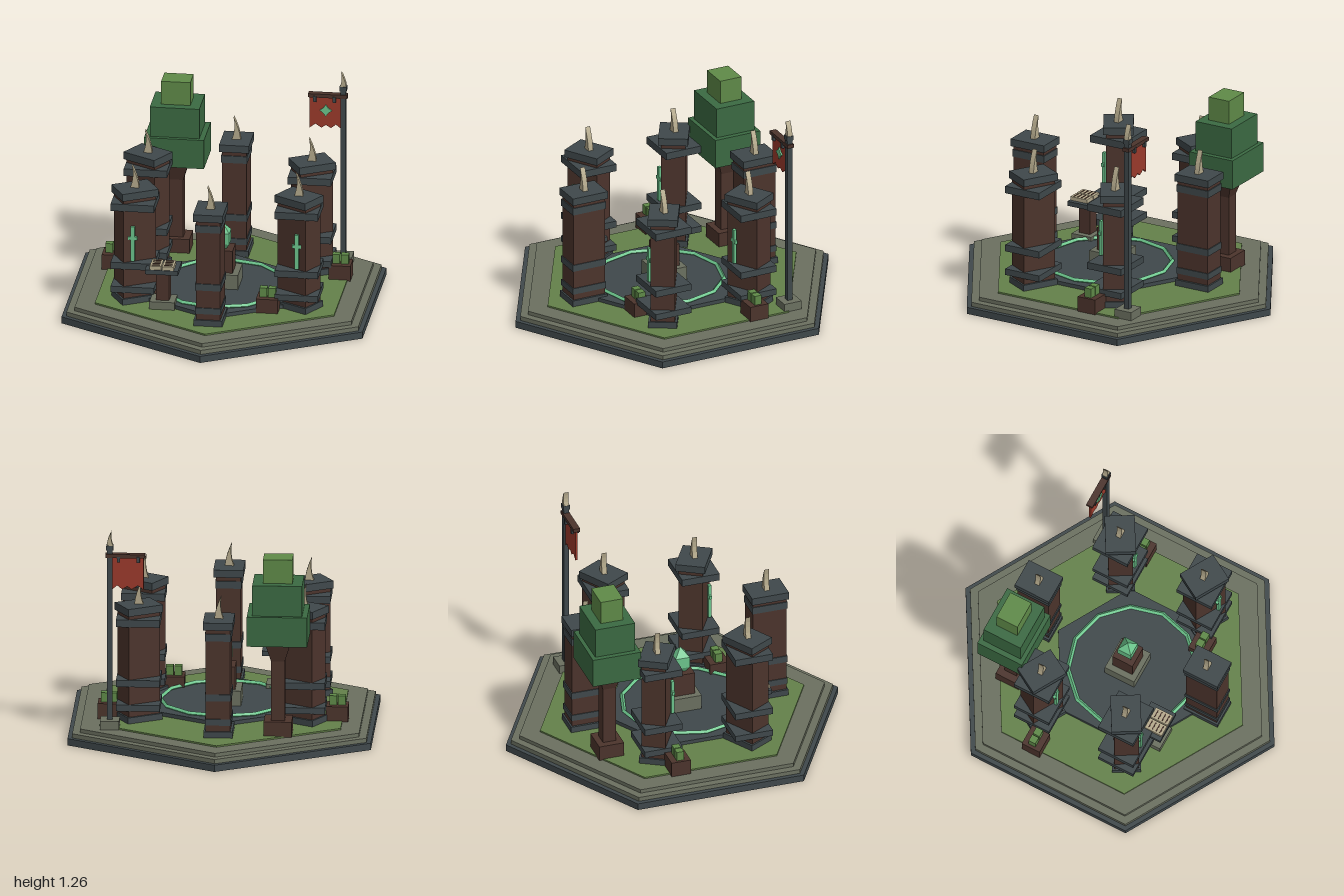
import * as THREE from 'three';

const mat = (name, hex) => {
  const m = new THREE.MeshStandardMaterial({ color: hex });
  m.name = name;
  return m;
};

export function createModel() {
  const slate = mat('slate', 0x3f484b), stone = mat('stone', 0x6b7060), grass = mat('grass', 0x64814a);
  const wood = mat('wood', 0x4c342c), mint = mat('mint', 0x6cc58c), bone = mat('bone', 0xb5aa8c);
  const leaf = mat('darkLeaf', 0x3b6a42), sprout = mat('lightLeaf', 0x5f8a48), red = mat('redCloth', 0x9b3a2b);

  const root = new THREE.Group();
  root.name = 'shrineCircle';

  const add = (parent, name, geo, material, x = 0, y = 0, z = 0) => {
    const mesh = new THREE.Mesh(geo, material);
    mesh.name = name;
    mesh.position.set(x, y, z);
    parent.add(mesh);
    return mesh;
  };
  const flat = (geo) => {
    const g = geo.index ? geo.toNonIndexed() : geo;
    g.computeVertexNormals();
    return g;
  };
  // Box standing between heights y0 and y1
  const box = (parent, name, material, x, z, w, d, y0, y1) =>
    add(parent, name, new THREE.BoxGeometry(w, y1 - y0, d), material, x, (y0 + y1) / 2, z);
  // Regular prism with its first corner toward +z
  const prism = (parent, name, material, r0, r1, sides, y0, y1, x = 0, z = 0) =>
    add(parent, name, flat(new THREE.CylinderGeometry(r1, r0, y1 - y0, sides)), material, x, (y0 + y1) / 2, z);
  const group = (name, x = 0, z = 0, parent = root) => {
    const g = new THREE.Group();
    g.name = name;
    g.position.set(x, 0, z);
    parent.add(g);
    return g;
  };

  // Curved horn cut from a plate
  const horn = (parent, x, y, z, h, w) => {
    const s = new THREE.Shape();
    s.moveTo(-w / 2, 0);
    s.lineTo(w / 2, 0);
    s.quadraticCurveTo(w * 0.42, h * 0.45, -w * 0.3, h);
    s.quadraticCurveTo(-w * 0.02, h * 0.5, -w / 2, 0);
    const g = new THREE.ExtrudeGeometry(s, { depth: 0.03, bevelEnabled: false, curveSegments: 4 });
    g.translate(0, 0, -0.015);
    add(parent, 'horn', g, bone, x, y, z);
  };

  // Stepped hexagonal ground
  prism(root, 'baseSlab', slate, 1, 1, 6, 0, 0.04);
  prism(root, 'lowerStep', stone, 0.97, 0.97, 6, 0.04, 0.065);
  prism(root, 'upperStep', stone, 0.92, 0.92, 6, 0.065, 0.087);
  prism(root, 'lawn', grass, 0.795, 0.795, 6, 0.087, 0.096);
  prism(root, 'plaza', slate, 0.48, 0.48, 6, 0.09, 0.118, 0, 0.08);
  const ring = flat(new THREE.TorusGeometry(0.368, 0.013, 4, 12).rotateX(-Math.PI / 2));
  add(root, 'glowRing', ring, mint, 0, 0.125, 0.08);

  // Central pedestal and crystal
  const shrine = group('pedestal', 0, 0.05);
  box(shrine, 'pedestalBase', stone, 0, 0, 0.2, 0.19, 0.11, 0.205);
  box(shrine, 'pedestalBlock', wood, 0, 0, 0.13, 0.13, 0.205, 0.34);
  const k = Math.SQRT2;
  const profile = [[0.025, 0.34], [0.0425, 0.37], [0.0425, 0.435], [0, 0.49]]
    .map(([r, y]) => new THREE.Vector2(r * k, y));
  add(shrine, 'crystal', flat(new THREE.LatheGeometry(profile, 4).rotateY(Math.PI / 4)), mint);

  // Six pillars in a ring; bands stay square to the axes, shafts face outward
  for (let i = 0; i < 6; i++) {
    const a = (i * Math.PI) / 3;
    const p = group('pillar', Math.sin(a) * 0.545, 0.02 + Math.cos(a) * 0.545);
    const corner = i % 3 !== 0;
    const turned = group('pillarCore', 0, 0, p);
    turned.rotation.y = a;
    box(turned, 'shaft', wood, 0, 0, 0.14, 0.2, 0.09, 0.74);
    box(turned, 'foot', slate, 0, 0, 0.165, 0.22, 0.09, 0.132);
    box(turned, 'cap', slate, 0, 0, 0.172, 0.222, 0.733, 0.777);
    for (const [y0, y1] of [[0.168, 0.205], [0.312, 0.352], [0.667, 0.71]]) {
      box(p, 'band', slate, 0, 0, corner ? 0.25 : 0.15, corner ? 0.226 : 0.212, y0, y1);
    }
    horn(p, 0, 0.777, 0, 0.135, 0.05);
    if (corner) {
      box(p, 'runeStem', mint, 0, 0.093, 0.022, 0.018, 0.36, 0.57);
      box(p, 'runeBar', mint, 0, 0.093, 0.052, 0.016, 0.488, 0.508);
    }
  }

  // Block tree
  const tree = group('tree', -0.338, -0.505);
  box(tree, 'treeBox', wood, 0, 0, 0.16, 0.15, 0.09, 0.18);
  box(tree, 'trunk', wood, 0, 0, 0.078, 0.078, 0.15, 0.65);
  const flare = prism(tree, 'trunkFlare', wood, 0.039 * k, 0.075 * k, 4, 0.53, 0.65);
  flare.geometry.rotateY(Math.PI / 4);
  box(tree, 'lowerFoliage', leaf, 0, 0, 0.345, 0.288, 0.645, 0.82);
  box(tree, 'middleFoliage', leaf, 0, 0, 0.285, 0.24, 0.82, 1.0);
  box(tree, 'topFoliage', sprout, 0, 0, 0.168, 0.135, 1.0, 1.14);

  // Planters with two shrubs each
  for (const [x, z] of [[-0.66, -0.19], [0.645, -0.2], [0.305, 0.37]]) {
    const p = group('planter', x, z);
    box(p, 'planterBox', wood, 0, 0, 0.125, 0.115, 0.09, 0.18);
    for (const s of [-1, 1]) box(p, 'shrub', sprout, s * 0.025, 0, 0.043, 0.043, 0.18, 0.235);
  }

  // Reading stand with an open book
  const stand = group('readingStand', -0.295, 0.39);
  box(stand, 'standBase', stone, 0, 0, 0.145, 0.13, 0.09, 0.142);
  box(stand, 'standLeg', wood, 0, 0, 0.075, 0.07, 0.14, 0.318);
  box(stand, 'standTop', slate, 0, 0, 0.19, 0.16, 0.315, 0.342);
  for (const s of [-1, 1]) {
    box(stand, 'page', bone, s * 0.036, 0.02, 0.066, 0.11, 0.342, 0.364);
    for (let i = 0; i < 4; i++) {
      box(stand, 'writtenLine', wood, s * 0.036, -0.015 + i * 0.024, 0.046, 0.006, 0.364, 0.367);
    }
  }

  // Banner on a pole
  const banner = group('banner', 0.628, -0.428);
  box(banner, 'poleBase', stone, 0, 0, 0.11, 0.11, 0.09, 0.14);
  box(banner, 'pole', slate, 0, 0, 0.03, 0.03, 0.14, 1.15);
  box(banner, 'poleCap', slate, 0, 0, 0.04, 0.04, 1.145, 1.172);
  horn(banner, 0, 1.172, 0, 0.085, 0.036);
  box(banner, 'crossbar', wood, -0.088, 0, 0.226, 0.04, 1.1, 1.122);
  const cloth = new THREE.Shape([
    [-0.193, 1.1], [-0.193, 0.91], [-0.16, 0.935], [-0.125, 0.912], [-0.1, 0.93],
    [-0.07, 0.912], [-0.042, 0.935], [-0.014, 0.912], [-0.014, 1.1],
  ].map(([x, y]) => new THREE.Vector2(x, y)));
  add(banner, 'cloth', new THREE.ExtrudeGeometry(cloth, { depth: 0.012, bevelEnabled: false }), red, 0, 0, -0.006);
  for (const x of [-0.162, -0.05]) box(banner, 'clip', slate, x, 0, 0.018, 0.046, 1.075, 1.108);
  const star = new THREE.Shape();
  for (let i = 0; i < 8; i++) {
    const r = i % 2 ? 0.021 : 0.036, t = (i * Math.PI) / 4;
    star[i ? 'lineTo' : 'moveTo'](Math.cos(t) * r, Math.sin(t) * r);
  }
  add(banner, 'emblem', new THREE.ExtrudeGeometry(star, { depth: 0.008, bevelEnabled: false }), mint, -0.1, 1.02, 0.006);

  return root;
}
